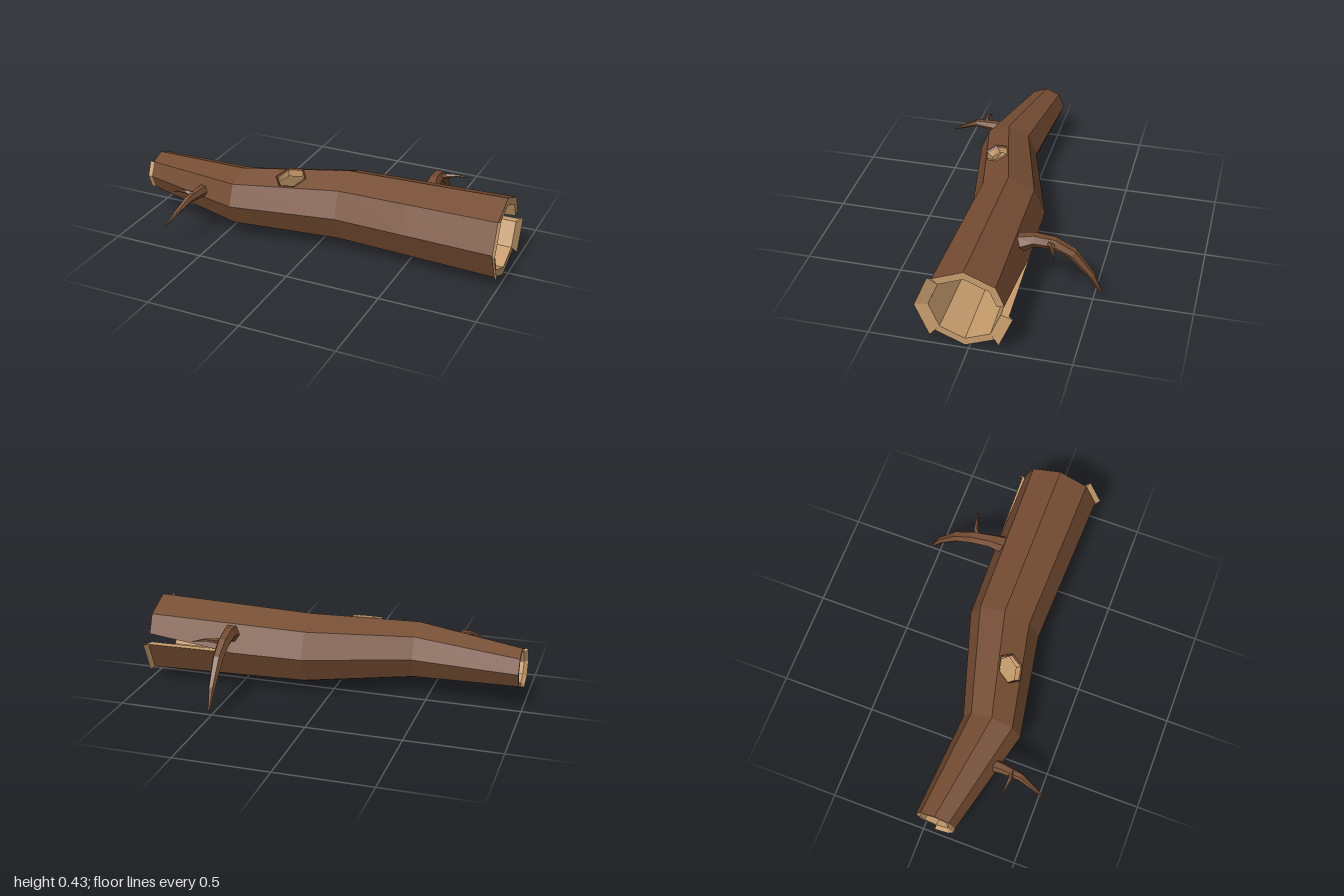
import * as THREE from 'three';

const bark = new THREE.MeshStandardMaterial({ color: 0x754c32, flatShading: true, side: THREE.DoubleSide });
const wood = new THREE.MeshStandardMaterial({ color: 0xc69c6d, flatShading: true, side: THREE.DoubleSide });
const V = (x, y, z) => new THREE.Vector3(x, y, z);

// Collects flat triangles and quads into one mesh
class Faces {
  pts = [];
  tri(a, b, c) { this.pts.push(a, b, c); }
  quad(a, b, c, d) { this.tri(a, b, c); this.tri(a, c, d); }
  mesh(name, material) {
    const g = new THREE.BufferGeometry().setFromPoints(this.pts);
    g.computeVertexNormals();
    const m = new THREE.Mesh(g, material);
    m.name = name;
    return m;
  }
}

// Log stations: x, centre z, outer radius, inner radius
const SIDES = 8, AXIS_Y = 0.22;
const stations = [
  [-0.98, 0.068, 0.106, 0.085],
  [-0.42, 0.158, 0.157, 0.125],
  [0.13, 0.022, 0.192, 0.155],
  [0.5, 0.022, 0.202, 0.165],
  [0.98, 0.022, 0.215, 0.175],
];
const ring = (x, cz, r) => Array.from({ length: SIDES }, (_, k) => {
  const a = k * Math.PI * 2 / SIDES;
  return V(x, AXIS_Y + r * Math.cos(a), cz + r * Math.sin(a));
});

function buildLog(group) {
  const shell = new Faces(), inside = new Faces(), rims = new Faces(), knot = new Faces();
  const outer = stations.map(([x, cz, r]) => ring(x, cz, r));
  const inner = stations.map(([x, cz, , r]) => ring(x, cz, r));
  const last = stations.length - 1, SPLIT = 6;

  // Corners of one panel; the split panel narrows toward the wide end
  const panel = (rings, i, k) => {
    const k2 = (k + 1) % SIDES;
    const c = [rings[i][k], rings[i][k2], rings[i + 1][k2], rings[i + 1][k]];
    if (k === SPLIT && i + 1 === last) c[3] = c[3].clone().lerp(c[2], 0.35);
    return c;
  };

  for (let i = 0; i < last; i++) for (let k = 0; k < SIDES; k++) {
    const o = panel(outer, i, k), n = panel(inner, i, k);
    if (i === 1 && k === 0) { knotPanel(o, n, shell, inside, knot); continue; }
    shell.quad(...o);
    inside.quad(...n.reverse());
  }

  // Cut faces of the split
  const o = panel(outer, last - 1, SPLIT), n = panel(inner, last - 1, SPLIT);
  rims.quad(o[0], o[3], n[3], n[0]);
  rims.quad(o[0], n[0], inner[last][SPLIT], outer[last][SPLIT]);

  // Splintered rims: some sides carry a lip that leans past the end
  const rim = (i, lipX, lipR, lipSides, dir) => {
    const [, cz, r] = stations[i];
    const lip = ring(lipX, cz, r + lipR);
    for (let k = 0; k < SIDES; k++) {
      const k2 = (k + 1) % SIDES;
      let [a, b, c, d] = [outer[i][k], outer[i][k2], inner[i][k2], inner[i][k]];
      if (dir > 0 && k === SPLIT) { a = o[3]; d = n[3]; }
      if (lipSides.includes(k)) {
        const p = lip[k], q = lip[k2];
        if (dir > 0) rims.quad(a, b, q, p); else rims.quad(b, a, p, q);
        // Close both ends of the lip
        rims.tri(a, p, d);
        rims.tri(b, c, q);
        a = p; b = q;
      }
      if (dir > 0) rims.quad(a, b, c, d); else rims.quad(d, c, b, a);
    }
  };
  rim(last, 1.0, 0.023, [1, 2, 5], 1);
  rim(0, -1.0, 0.002, [1, 2, 3], -1);

  group.add(shell.mesh('bark', bark), inside.mesh('hollow', wood),
    rims.mesh('brokenEnds', wood), knot.mesh('knotHole', wood));
}

// A panel pierced by a six-sided knot hole with a slightly raised edge
function knotPanel(o, n, shell, inside, knot) {
  const at = (c, p) => c[0].clone().lerp(c[3], p.x).lerp(c[1].clone().lerp(c[2], p.x), p.y);
  const square = [[0, 0], [1, 0], [1, 1], [0, 1]].map(p => new THREE.Vector2(...p));
  const hex = (s) => Array.from({ length: 6 }, (_, j) => {
    const a = -j * Math.PI / 3;
    return new THREE.Vector2(0.51 + 0.14 * s * Math.cos(a), 0.5 + 0.54 * s * Math.sin(a));
  });
  const hole = hex(0.9), all = [...square, ...hole];
  for (const [a, b, c] of THREE.ShapeUtils.triangulateShape(square, [hole])) {
    shell.tri(at(o, all[c]), at(o, all[b]), at(o, all[a]));
    inside.tri(at(n, all[a]), at(n, all[b]), at(n, all[c]));
  }
  const raise = V(0, 0.011, 0.005);
  const low = hole.map(p => at(o, p)), deep = hole.map(p => at(n, p));
  const top = hex(1).map(p => at(o, p).add(raise));
  for (let j = 0; j < 6; j++) {
    const m = (j + 1) % 6;
    shell.quad(low[j], low[m], top[m], top[j]);
    knot.quad(top[j], top[m], deep[m], deep[j]);
  }
}

// Tapered, bent limb; each point is x, y, z, radius
function limb(name, points, sides = 6) {
  const f = new Faces();
  const pos = points.map(p => V(p[0], p[1], p[2]));
  const rings = points.map((p, i) => {
    const dir = pos[Math.min(i + 1, pos.length - 1)].clone().sub(pos[Math.max(i - 1, 0)]).normalize();
    const ref = Math.abs(dir.x) > 0.8 ? V(0, 0, 1) : V(1, 0, 0);
    const u = ref.addScaledVector(dir, -ref.dot(dir)).normalize();
    const w = dir.clone().cross(u);
    return Array.from({ length: sides }, (_, k) => {
      const a = k * Math.PI * 2 / sides;
      return pos[i].clone().addScaledVector(u, p[3] * Math.cos(a)).addScaledVector(w, p[3] * Math.sin(a));
    });
  });
  for (let i = 0; i < rings.length - 1; i++) for (let k = 0; k < sides; k++) {
    const m = (k + 1) % sides;
    f.quad(rings[i][k], rings[i][m], rings[i + 1][m], rings[i + 1][k]);
  }
  const end = rings[rings.length - 1];
  for (let k = 1; k < sides - 1; k++) f.tri(end[0], end[k], end[k + 1]);
  return f.mesh(name, bark);
}

export function createModel() {
  const group = new THREE.Group();
  group.name = 'hollowLog';
  buildLog(group);

  // Long drooping branch at the back
  group.add(limb('backBranch', [
    [0.525, 0.31, -0.13, 0.05], [0.515, 0.33, -0.2, 0.037], [0.505, 0.318, -0.3, 0.033],
    [0.5, 0.27, -0.39, 0.029], [0.497, 0.15, -0.49, 0.018], [0.495, 0.05, -0.54, 0.006],
  ]));
  group.add(limb('backTwig', [
    [0.51, 0.322, -0.27, 0.02], [0.55, 0.328, -0.3, 0.013], [0.6, 0.333, -0.312, 0.008], [0.66, 0.325, -0.332, 0.002],
  ], 5));

  // Shorter branch at the front
  group.add(limb('frontBranch', [
    [-0.61, 0.24, 0.22, 0.036], [-0.613, 0.252, 0.29, 0.029], [-0.622, 0.252, 0.39, 0.021],
    [-0.645, 0.21, 0.47, 0.012], [-0.665, 0.165, 0.543, 0.003],
  ]));
  group.add(limb('frontTwig', [
    [-0.615, 0.262, 0.34, 0.016], [-0.655, 0.274, 0.346, 0.011], [-0.695, 0.268, 0.342, 0.007], [-0.74, 0.25, 0.336, 0.002],
  ], 5));
  return group;
}
